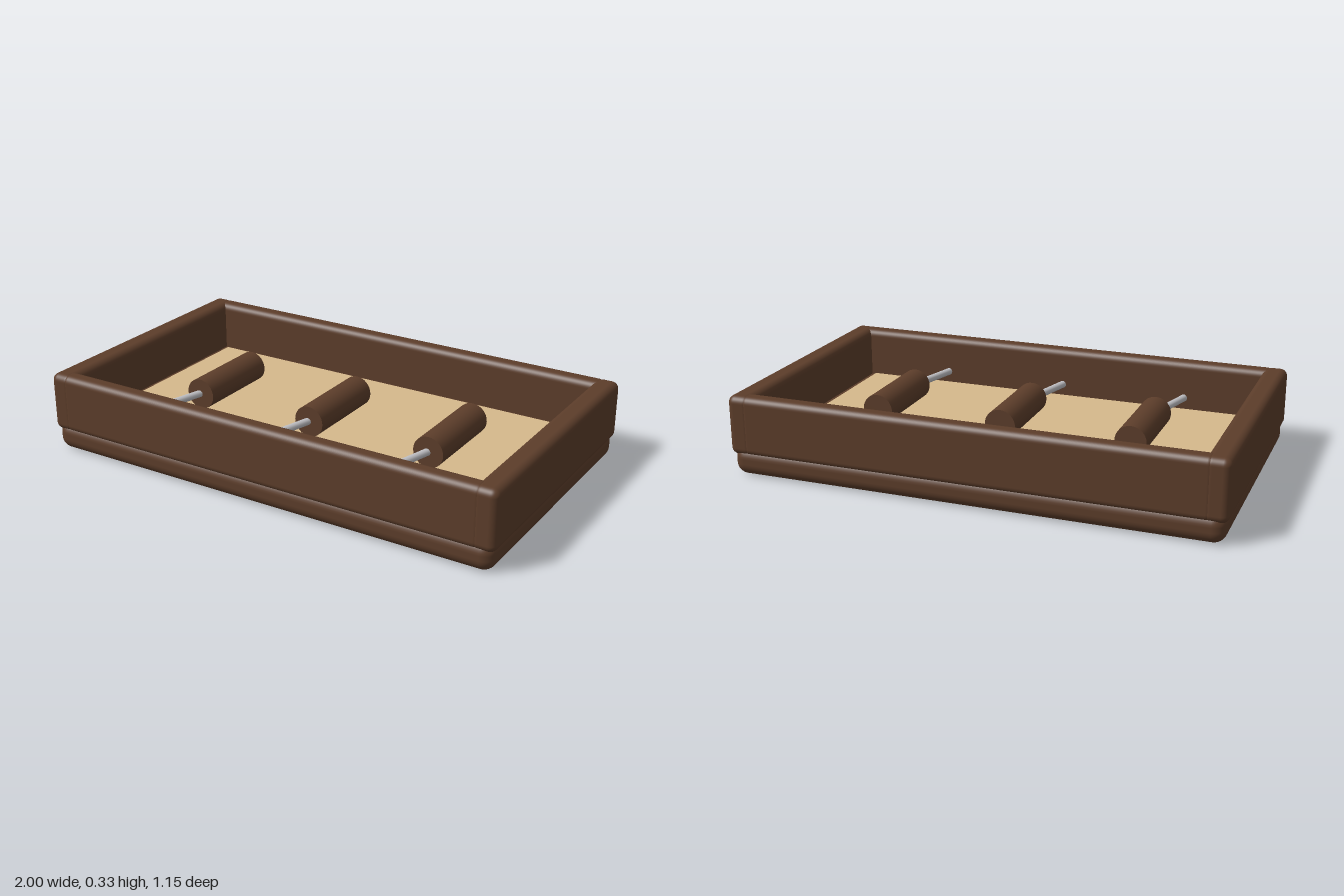
import * as THREE from 'three';
import { RoundedBoxGeometry } from 'three/addons/geometries/RoundedBoxGeometry.js';

export function createModel() {
  const model = new THREE.Group();
  const wood = new THREE.MeshStandardMaterial({ color: 0x5c3d2a });
  wood.name = 'dark wood';
  const felt = new THREE.MeshStandardMaterial({ color: 0xd6b98c });
  felt.name = 'tan lining';
  const steel = new THREE.MeshStandardMaterial({ color: 0xc0c0c4 });
  steel.name = 'steel';

  function add(parent, name, geometry, material, x, y, z) {
    const mesh = new THREE.Mesh(geometry, material);
    mesh.name = name;
    mesh.position.set(x, y, z);
    parent.add(mesh);
    return mesh;
  }

  // Tray base with soft edges
  add(model, 'base', new RoundedBoxGeometry(1.98, 0.12, 1.15, 5, 0.05), wood, 0, 0.06, 0);

  // Lining panel on the tray floor
  add(model, 'lining', new THREE.BoxGeometry(1.722, 0.04, 0.9), felt, 0, 0.12, 0);

  // Four rounded walls
  const sideWall = new RoundedBoxGeometry(0.098, 0.245, 1.15, 5, 0.03);
  const longWall = new RoundedBoxGeometry(1.89, 0.245, 0.08, 5, 0.03);
  for (const s of [1, -1]) {
    add(model, s > 0 ? 'leftWall' : 'rightWall', sideWall, wood, s * 0.951, 0.2075, 0);
    add(model, s > 0 ? 'frontWall' : 'backWall', longWall, wood, 0, 0.2075, s * 0.535);
  }

  // Three tools: a wooden handle with an angled steel shaft
  const handle = new THREE.CylinderGeometry(0.064, 0.064, 0.374, 32).rotateX(Math.PI / 2);
  const shaft = new THREE.CylinderGeometry(0.015, 0.015, 0.27, 16).rotateX(Math.PI / 2);
  for (const x of [-0.535, 0, 0.535]) {
    const tool = new THREE.Group();
    tool.name = 'tool';
    tool.position.set(x, 0.204, 0);
    add(tool, 'handle', handle, wood, 0, 0, 0);
    add(tool, 'shaft', shaft, steel, -0.029, 0, 0.274).rotation.y = -0.265;
    model.add(tool);
  }
  return model;
}
